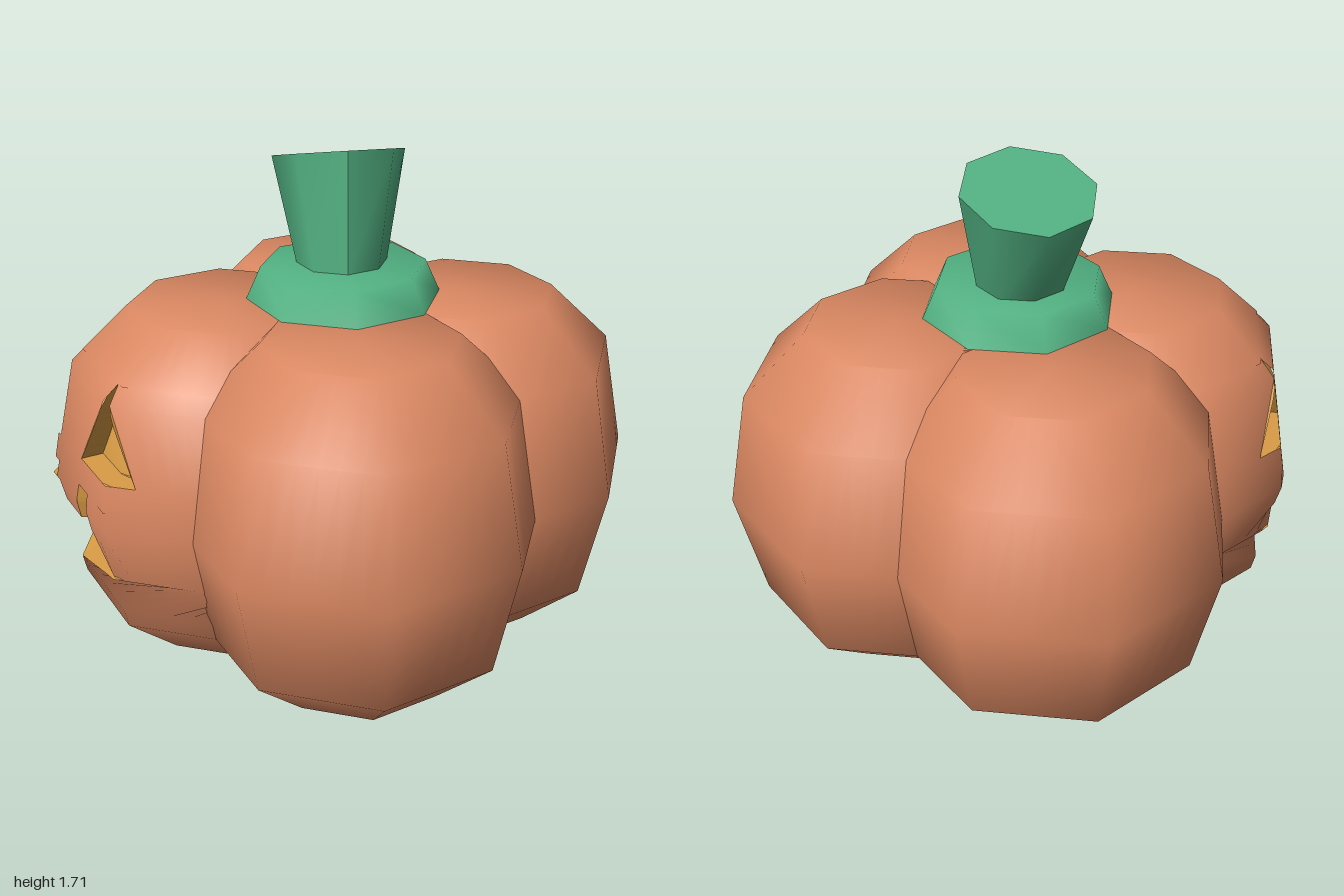
import * as THREE from 'three';

const rad = THREE.MathUtils.degToRad;
const mat = (name, color, side = THREE.FrontSide) => {
  const m = new THREE.MeshStandardMaterial({ color, side });
  m.name = name;
  return m;
};

// Lobe profile rows: height, octagon radius, upward lean of the normal
const PROFILE = [[0, 0.313, -1.0], [0.2, 0.523, -0.55], [0.6, 0.605, 0], [1.0, 0.523, 0.55], [1.2, 0.313, 2.0]];
const TOP = 1.2;

function profileAt(y) {
  let i = 0;
  while (i < PROFILE.length - 2 && y > PROFILE[i + 1][0]) i++;
  const [a, b] = [PROFILE[i], PROFILE[i + 1]];
  const f = (y - a[0]) / (b[0] - a[0]);
  return { r: a[1] + (b[1] - a[1]) * f, k: a[2] + (b[2] - a[2]) * f };
}

// Point on the eight-sided lobe; angle in degrees, 0 faces outward
function surface(angle, y, inset = 0) {
  const m = ((angle % 45) + 45) % 45 - 22.5;
  const r = (profileAt(y).r - inset) * Math.cos(rad(22.5)) / Math.cos(rad(m));
  return new THREE.Vector3(r * Math.sin(rad(angle)), y, r * Math.cos(rad(angle)));
}

// Carved outlines as [angle, height]
const eye = [[23, 0.75], [55, 0.75], [41, 1.05]];
const mirror = (pts) => pts.map(([a, y]) => [-a, y]);
const mouthTop = [[48, 0.4], [44, 0.41], [32, 0.53], [31, 0.66], [23, 0.66], [22, 0.53], [7, 0.53], [6, 0.6]];
const mouthUpper = [...mouthTop, ...mirror(mouthTop).reverse()];
const mouthLower = [[-48, 0.4], [0, 0.26], [48, 0.4]];
const mouth = [...mouthUpper, [0, 0.26]];
const carvings = [eye, mirror(eye), mouth];

// Lobe skin in horizontal strips: either around the outlines or filling them
function skin(outlines, { inside = false, inset = 0 } = {}) {
  const ys = outlines.flat().map((p) => p[1]);
  const levels = [...new Set([...ys, ...PROFILE.map((p) => p[0])])].sort((a, b) => a - b);
  const pos = [], nor = [], idx = [];
  const add = (a, y) => {
    const p = surface(a, y, inset);
    const n = new THREE.Vector3(Math.sin(rad(a)), profileAt(y).k, Math.cos(rad(a))).normalize();
    pos.push(p.x, p.y, p.z);
    nor.push(n.x, n.y, n.z);
    return pos.length / 3 - 1;
  };
  for (let l = 0; l < levels.length - 1; l++) {
    const y0 = levels[l], y1 = levels[l + 1], ym = (y0 + y1) / 2;
    const cuts = [];
    for (const o of outlines) {
      o.forEach(([a, ya], i) => {
        const [b, yb] = o[(i + 1) % o.length];
        if ((ya - ym) * (yb - ym) >= 0) return;
        const at = (y) => a + (b - a) * (y - ya) / (yb - ya);
        cuts.push([at(y0), at(y1), at(ym)]);
      });
    }
    cuts.sort((p, q) => p[2] - q[2]);
    if (!inside) {
      cuts.unshift([-180, -180]);
      cuts.push([180, 180]);
    }
    for (let c = 0; c + 1 < cuts.length; c += 2) {
      const [L, R] = [cuts[c], cuts[c + 1]];
      const n = Math.max(2, Math.ceil(Math.max(R[0] - L[0], R[1] - L[1]) / 7.5));
      for (let i = 0; i <= n; i++) {
        const v = add(L[0] + (R[0] - L[0]) * i / n, y0);
        add(L[1] + (R[1] - L[1]) * i / n, y1);
        if (i < n) idx.push(v, v + 2, v + 3, v, v + 3, v + 1);
      }
    }
  }
  if (!inside) {
    // softly shaded top
    const ring = Array.from({ length: 9 }, (_, i) => add(i * 45, TOP));
    const mid = pos.length / 3;
    pos.push(0, TOP, 0);
    nor.push(0, 1, 0);
    for (let i = 0; i < 8; i++) idx.push(mid, ring[i], ring[i + 1]);
  }
  const g = new THREE.BufferGeometry();
  g.setAttribute('position', new THREE.Float32BufferAttribute(pos, 3));
  g.setAttribute('normal', new THREE.Float32BufferAttribute(nor, 3));
  g.setIndex(idx);
  return g;
}

// Walls running inward from an outline; move maps a rim point to its inner point
function walls(outline, closed, move) {
  const pos = [];
  const count = closed ? outline.length : outline.length - 1;
  for (let i = 0; i < count; i++) {
    const [a, ya] = outline[i], [b, yb] = outline[(i + 1) % outline.length];
    const n = 8;
    for (let s = 0; s < n; s++) {
      const [p, q] = [s / n, (s + 1) / n].map((f) => [a + (b - a) * f, ya + (yb - ya) * f]);
      const P = surface(...p), Q = surface(...q), P2 = move(P, ...p), Q2 = move(Q, ...q);
      for (const v of [P, Q, Q2, P, Q2, P2]) pos.push(v.x, v.y, v.z);
    }
  }
  const g = new THREE.BufferGeometry();
  g.setAttribute('position', new THREE.Float32BufferAttribute(pos, 3));
  g.computeVertexNormals();
  return g;
}

export function createModel() {
  const orange = mat('pumpkin orange', 0xd98761);
  const green = mat('stem green', 0x52b182);
  const gold = mat('carved gold', 0xd99c45, THREE.DoubleSide);
  const model = new THREE.Group();
  model.name = 'carvedPumpkin';

  const part = (parent, name, geometry, material) => {
    const m = new THREE.Mesh(geometry, material);
    m.name = name;
    parent.add(m);
    return m;
  };

  // Four lobes, the one facing -x is carved
  for (let i = 0; i < 4; i++) {
    const carved = i === 3;
    const turn = new THREE.Group();
    turn.name = carved ? 'faceLobe' : 'lobe' + (i + 1);
    turn.rotation.y = rad(-5 + 90 * i);
    model.add(turn);
    const lobe = new THREE.Group();
    lobe.name = 'lobeBody';
    lobe.position.z = 0.4;
    turn.add(lobe);
    part(lobe, 'lobeSkin', skin(carved ? carvings : []), orange);
    part(lobe, 'lobeBottom', new THREE.CircleGeometry(0.313, 8).rotateX(Math.PI / 2), orange);
    if (!carved) continue;

    // Shallow eye sockets
    const depth = 0.08;
    for (const o of [eye, mirror(eye)]) {
      part(lobe, 'eyeWalls', walls(o, true, (p, a, y) => surface(a, y, depth)), gold);
      part(lobe, 'eyeBack', skin([o], { inside: true, inset: depth }), gold);
    }
    // Mouth with a sloping floor
    const shift = (dy, dz) => (p) => new THREE.Vector3(p.x, p.y + dy, p.z + dz);
    part(lobe, 'mouthRoof', walls(mouthUpper, false, shift(0, -0.25)), gold);
    part(lobe, 'mouthFloor', walls(mouthLower, false, shift(0.294, -0.35)), gold);
    part(lobe, 'mouthBack', new THREE.PlaneGeometry(0.8, 0.4).translate(0, 0.5, 0.19), gold);
  }

  // Collar under the stem
  const collar = [[0.325, 1.2], [0.275, 1.31], [0, 1.31]].map((p) => new THREE.Vector2(...p));
  part(model, 'stemCollar', new THREE.LatheGeometry(collar, 8), green).rotation.y = rad(-5);

  // Stem widening upward, leaning back, cut at a slant
  const stem = new THREE.CylinderGeometry(0.22, 0.15, 1, 8).rotateY(rad(-5));
  const sp = stem.attributes.position;
  for (let i = 0; i < sp.count; i++) {
    const z = sp.getZ(i);
    if (sp.getY(i) > 0) sp.setXYZ(i, sp.getX(i) + 0.007, 1.655 + 0.26 * z, z - 0.105);
    else sp.setXYZ(i, sp.getX(i), 1.3, z - 0.025);
  }
  stem.computeVertexNormals();
  part(model, 'stem', stem, green);

  return model;
}
